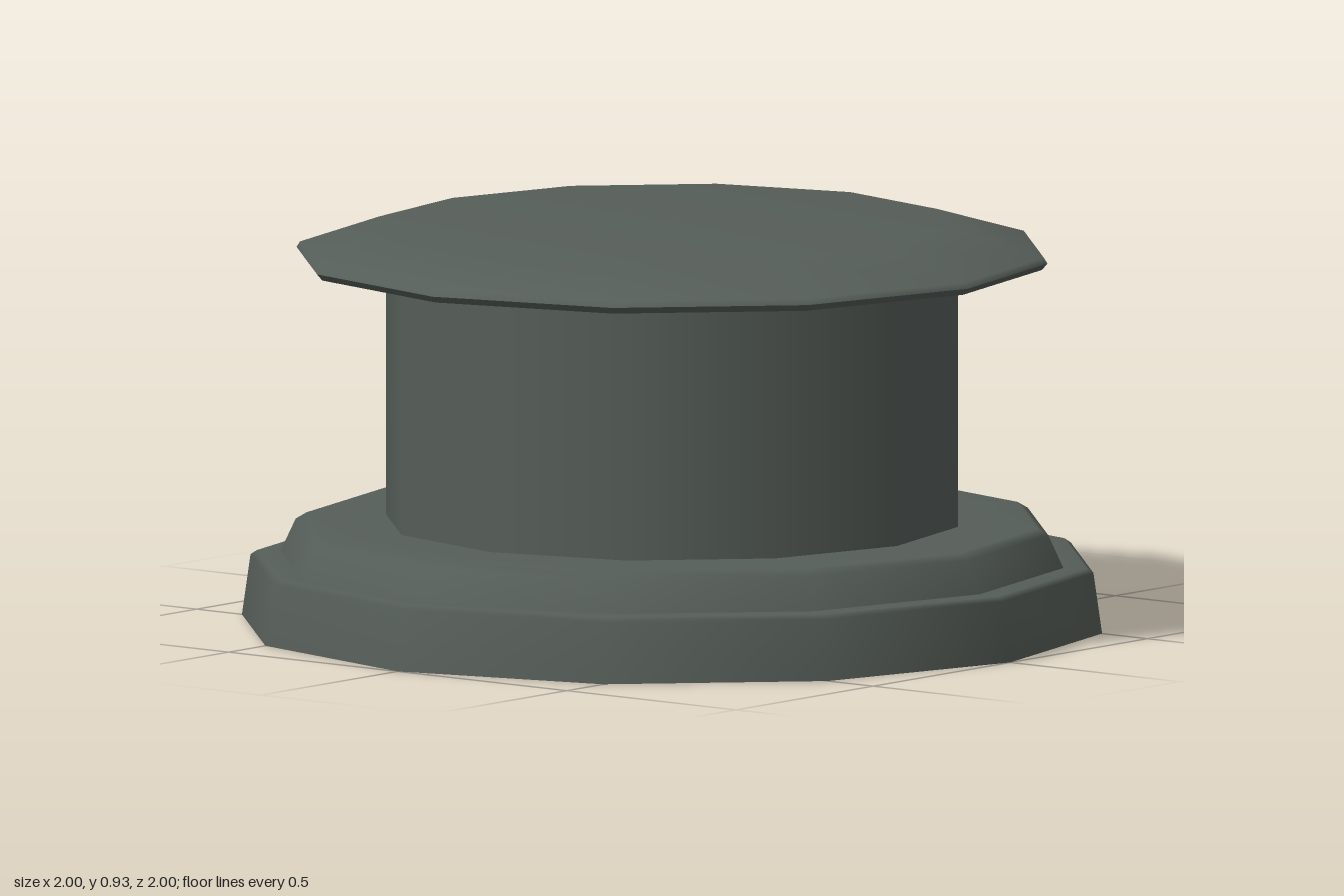
import * as THREE from 'three';

const SIDES = 12;

export function createModel() {
  const group = new THREE.Group();
  group.name = 'cappedVent';
  const material = new THREE.MeshStandardMaterial({ color: 0x565e59, side: THREE.DoubleSide });

  // Each part is a thin twelve-sided shell turned from a [radius, height] profile
  function addShell(name, profile) {
    const points = profile.map(([r, y]) => new THREE.Vector2(r, y));
    const mesh = new THREE.Mesh(new THREE.LatheGeometry(points, SIDES), material);
    mesh.name = name;
    group.add(mesh);
  }

  // Flared base ring with a rounded upper lip, open underneath
  addShell('baseSkirt', [[1, 0], [0.98, 0.14], [0.965, 0.15], [0.91, 0.15]]);

  // Raised step, chamfered, running in to the neck
  addShell('baseStep', [[0.91, 0.15], [0.875, 0.225], [0.85, 0.24], [0.665, 0.24]]);

  // Hollow neck
  addShell('neck', [[0.665, 0.24], [0.665, 0.825]]);

  // Overhanging lid: sloping underside, thin rim and shallow domed top
  addShell('lidUnderside', [[0.665, 0.825], [0.86, 0.84]]);
  addShell('lidRim', [[0.86, 0.84], [0.873, 0.855]]);
  addShell('lidTop', [[0.873, 0.855], [0.865, 0.868], [0.65, 0.93], [0, 0.93]]);

  return group;
}
